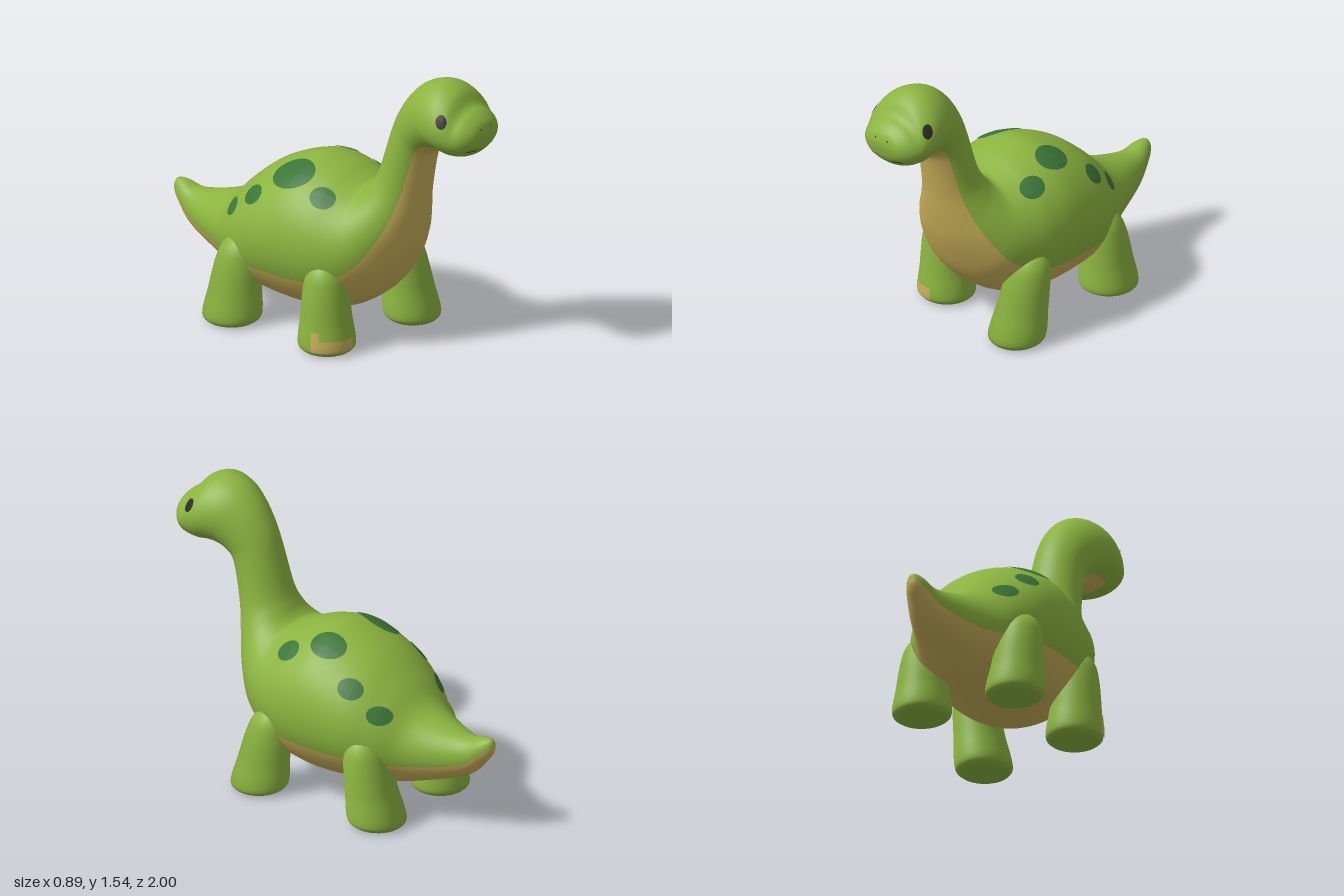
import * as THREE from 'three';

const mat = (name, color) => {
  const m = new THREE.MeshStandardMaterial({ color });
  m.name = name;
  return m;
};

// Cross-sections from tail tip to muzzle:
// [back z, back y, belly z, belly y, half width]
const SECTIONS = [
  [-1, .52, -1, .515, 0],
  [-.98, .545, -.992, .47, .03],
  [-.93, .545, -.95, .41, .06],
  [-.82, .525, -.84, .305, .105],
  [-.58, .595, -.58, .205, .215],
  [-.44, .725, -.44, .17, .315],
  [-.28, .85, -.28, .14, .385],
  [-.06, .935, -.06, .12, .41],
  [.1, .915, .12, .135, .4],
  [.2, .875, .28, .2, .37],
  [.26, .855, .43, .335, .325],
  [.295, .875, .53, .53, .26],
  [.325, .92, .58, .7, .2],
  [.36, 1.0, .61, .87, .158],
  [.43, 1.23, .655, 1.085, .14],
  [.48, 1.34, .695, 1.145, .15],
  [.55, 1.44, .745, 1.168, .17],
  [.64, 1.515, .795, 1.172, .195],
  [.75, 1.545, .84, 1.165, .208],
  [.84, 1.51, .88, 1.167, .2],
  [.89, 1.44, .92, 1.178, .185],
  [.94, 1.412, .955, 1.198, .16],
  [.98, 1.375, .985, 1.235, .115],
  [.997, 1.335, .997, 1.28, .06],
  [1, 1.31, 1, 1.305, 0],
];
// Share of the section height that is belly coloured, by section number
const BELLY_SHARE = new THREE.CubicInterpolant(
  [0, 4, 7, 10, 14, 18, 24], [.45, .36, .3, .32, .2, .08, .08], 1);
const BELLY_END = 17.6;

// Continuous tail, trunk, neck and head; group 0 is skin, group 1 is belly
function bodyGeometry() {
  const rings = 130, nb = 16, nt = 30, n = nb + nt;
  const curve = f => new THREE.CatmullRomCurve3(SECTIONS.map(f), false, 'catmullrom');
  const back = curve(([z, y, , , w]) => new THREE.Vector3(w, y, z));
  const front = curve(([, , z, y]) => new THREE.Vector3(0, y, z));
  const pos = [], skin = [], belly = [];
  for (let j = 0; j <= rings; j++) {
    const T = back.getPoint(j / rings), B = front.getPoint(j / rings);
    const section = j / rings * (SECTIONS.length - 1);
    const edge = Math.acos(1 - 2 * BELLY_SHARE.evaluate(section)[0]);
    const w = Math.max(0, T.x);
    const cheek = Math.max(0, T.y - 1.2) * .4;
    for (let i = 0; i < n; i++) {
      const a = i <= nb
        ? -edge + 2 * edge * i / nb
        : edge + (2 * Math.PI - 2 * edge) * (i - nb) / nt;
      const c = Math.cos(a);
      pos.push(
        w * Math.sin(a) * (1 + cheek * c),
        (T.y + B.y) / 2 + (B.y - T.y) / 2 * c,
        (T.z + B.z) / 2 + (B.z - T.z) / 2 * c);
      if (j === rings) continue;
      const p = j * n + i, q = j * n + (i + 1) % n;
      const underside = i < nb && section < BELLY_END;
      (underside ? belly : skin).push(p, q, p + n, q, q + n, p + n);
    }
  }
  const g = new THREE.BufferGeometry();
  g.setAttribute('position', new THREE.Float32BufferAttribute(pos, 3));
  g.setIndex([...skin, ...belly]);
  g.addGroup(0, skin.length, 0);
  g.addGroup(skin.length, belly.length, 1);
  g.computeVertexNormals();
  return g;
}

// Thin oval laid onto a surface, projected along direction d
function ovalOn(target, p, d, ru, rv, material, name) {
  const dir = new THREE.Vector3(...d).normalize();
  const u = new THREE.Vector3(0, 1, 0).cross(dir).normalize();
  const v = dir.clone().cross(u);
  const geo = new THREE.RingGeometry(0.001, 1, 32, 5);
  const at = geo.attributes.position, ray = new THREE.Raycaster();
  const back = dir.clone().negate();
  for (let i = 0; i < at.count; i++) {
    const start = new THREE.Vector3(...p).addScaledVector(u, at.getX(i) * ru)
      .addScaledVector(v, at.getY(i) * rv);
    ray.set(start.clone().addScaledVector(dir, .6), back);
    const hit = ray.intersectObject(target)[0];
    const q = hit ? hit.point : start;
    q.addScaledVector(dir, .004);
    at.setXYZ(i, q.x, q.y, q.z);
  }
  geo.computeVertexNormals();
  const mesh = new THREE.Mesh(geo, material);
  mesh.name = name;
  return mesh;
}

// Leg outline as radius, height
const LEG = new THREE.SplineCurve([
  [.125, .004], [.145, .022], [.15, .05], [.146, .1], [.136, .17], [.128, .25],
  [.117, .34], [.098, .42], [.06, .475], [0, .5],
].map(p => new THREE.Vector2(...p))).getPoints(40);

// Lathe whose axis leans by (lx, lz) over the leg height
function leaning(points, lx, lz, ...arc) {
  const g = new THREE.LatheGeometry(points, ...arc);
  const p = g.attributes.position;
  for (let i = 0; i < p.count; i++) {
    const t = p.getY(i) / .5;
    p.setX(i, p.getX(i) + lx * t);
    p.setZ(i, p.getZ(i) + lz * t);
  }
  return g;
}

export function createModel() {
  const model = new THREE.Group();
  model.name = 'longNeckedDinosaur';
  const skin = mat('skinGreen', 0x8bb43f);
  const tan = mat('bellyTan', 0xc9b059);
  const spot = mat('spotGreen', 0x3a7538);
  const dark = mat('eyeBlack', 0x2a2a28);

  const body = new THREE.Mesh(bodyGeometry(), [skin, tan]);
  body.name = 'body';
  model.add(body);

  // Legs: name, foot x, foot z, lean x, lean z, thickness
  const legs = [
    ['leftFrontLeg', .295, .305, .02, -.11, 1],
    ['rightFrontLeg', -.292, .195, -.02, 0, 1],
    ['leftHindLeg', .25, -.44, .03, .085, 1.03],
    ['rightHindLeg', -.285, -.425, -.01, .07, 1.03],
  ];
  for (const [name, x, z, lx, lz, s] of legs) {
    const leg = new THREE.Group();
    leg.name = name;
    const outline = [new THREE.Vector2(0, 0), new THREE.Vector2(.1, 0), ...LEG];
    const mesh = new THREE.Mesh(leaning(outline, lx, lz, 36), skin);
    mesh.name = name + 'Limb';
    leg.add(mesh);
    // Tan patch around the outer toes of one foot
    if (name === 'rightFrontLeg') {
      for (const [y0, y1, a, len] of [[.025, .105, -1.5, 1.63], [.09, .15, -1.5, .3]]) {
        const pts = LEG.filter(p => p.y > y0 && p.y < y1).map(p => new THREE.Vector2(p.x + .003, p.y));
        const patch = new THREE.Mesh(leaning(pts, lx, lz, 16, a, len), tan);
        patch.name = 'toePatch';
        leg.add(patch);
      }
    }
    leg.position.set(x, 0, z);
    leg.scale.set(s, 1, s);
    model.add(leg);
  }

  for (const side of [1, -1]) {
    // Back spots: z, angle from vertical, radius along z, radius around the body
    const big = side > 0 ? [-.07, .47, .1, .082] : [-.09, .49, .126, .105];
    for (const [z, a, rz, rt] of [[.14, .69, .068, .062], big, [-.285, .89, .062, .058], [-.445, 1.15, .052, .05]]) {
      const d = [side * Math.sin(a), Math.cos(a), 0];
      model.add(ovalOn(body, [0, .5, z], d, rz, rt, spot, 'backSpot'));
    }
    // Face details
    model.add(ovalOn(body, [side * .175, 1.395, .84], [side * .8, .12, .55], .028, .036, dark, 'eye'));
    model.add(ovalOn(body, [side * .085, 1.237, .96], [side * .35, -.15, .93], .035, .004, dark, 'mouth'));
    model.add(ovalOn(body, [side * .04, 1.342, .98], [side * .1, .1, 1], .004, .005, dark, 'nostril'));
  }
  return model;
}
